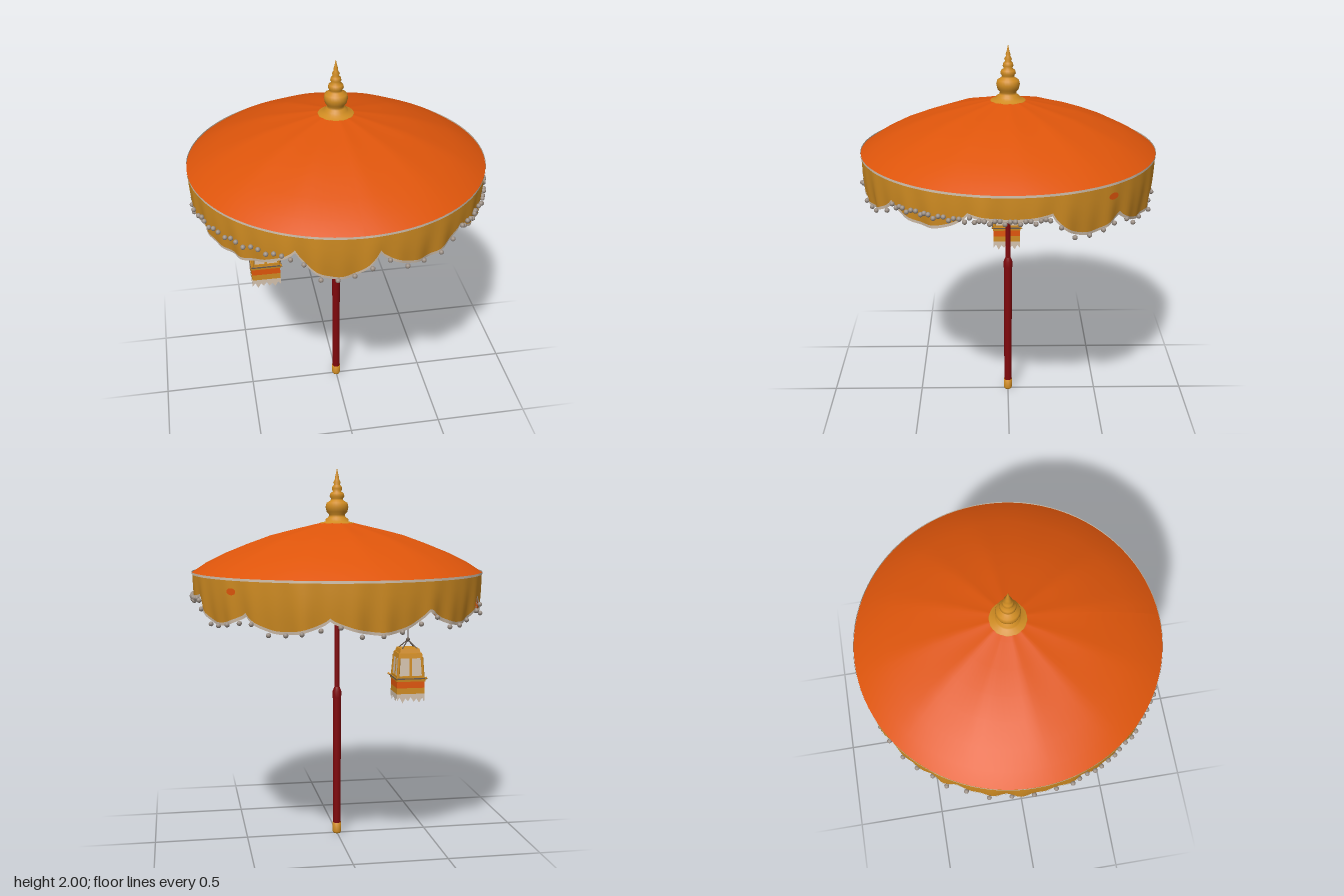
import * as THREE from 'three';

const mat = (name, color, side = THREE.FrontSide) => {
  const m = new THREE.MeshStandardMaterial({ color, side });
  m.name = name;
  return m;
};
const V = (x, y, z) => new THREE.Vector3(x, y, z);
const TURN = Math.PI * 2, RIBS = 12, RAD = Math.PI / 180, RIM = 1.46;

// scallops of the hem: [start angle in degrees from the front towards +x, height of the cusp, lowest height]
const SCALLOPS = [[6, 1.36, 1.25], [42, 1.345, 1.27], [75, 1.36, 1.335], [105, 1.355, 1.23], [135, 1.29, 1.21],
  [168, 1.28, 1.21], [206, 1.32, 1.23], [241, 1.35, 1.25], [283, 1.33, 1.24], [336, 1.365, 1.22], [366, 1.36, 1.25]];

// height of the scalloped hem at angle a
function hem(a) {
  const deg = ((a / RAD - 6) % 360 + 360) % 360 + 6;
  const k = Math.min(9, SCALLOPS.findLastIndex(s => deg >= s[0]));
  const [from, high, low] = SCALLOPS[k], [to, nextHigh] = SCALLOPS[k + 1];
  const t = (deg - from) / (to - from), top = high + (nextHigh - high) * t;
  return top - (top - low) * Math.pow(Math.sin(t * Math.PI), 0.75);
}
// radius of the hanging cloth, with soft folds that grow downwards
function clothRadius(a, y) {
  const drop = (RIM - y) / 0.24;
  return 0.768 - 0.022 * drop * drop + drop * 0.006 * (Math.sin(a * 37) + Math.sin(a * 23 + 1));
}
const onCloth = (a, y, out = 0) => {
  const r = clothRadius(a, y) + out;
  return V(r * Math.sin(a), y, r * Math.cos(a));
};

// strip of cloth between two angles and two heights; inward turns its face to the pole
function clothStrip(a0, a1, topAt, bottomAt, out, inward) {
  const n = Math.ceil((a1 - a0) / TURN * 240), rows = 4, pos = [], idx = [];
  for (let i = 0; i <= n; i++) {
    const a = a0 + (a1 - a0) * i / n, top = topAt(a), bottom = bottomAt(a);
    for (let j = 0; j <= rows; j++) pos.push(...onCloth(a, top + (bottom - top) * j / rows, out).toArray());
  }
  for (let i = 0; i < n; i++) for (let j = 0; j < rows; j++) {
    const a = i * (rows + 1) + j, b = a + 1, d = a + rows + 1, c = d + 1;
    if (inward) idx.push(a, c, b, a, d, c);
    else idx.push(a, b, c, a, c, d);
  }
  const g = new THREE.BufferGeometry();
  g.setAttribute('position', new THREE.Float32BufferAttribute(pos, 3));
  g.setIndex(idx);
  g.computeVertexNormals();
  return g;
}

// square tapered block with hard edges
function squareBlock(halfTop, halfBottom, y0, y1) {
  const g = new THREE.CylinderGeometry(halfTop * Math.SQRT2, halfBottom * Math.SQRT2, y1 - y0, 4)
    .rotateY(Math.PI / 4).translate(0, (y0 + y1) / 2, 0).toNonIndexed();
  g.computeVertexNormals();
  return g;
}
const rod = (a, b, r) => new THREE.TubeGeometry(new THREE.LineCurve3(a, b), 1, r, 6);
const lathe = (pts, seg) => new THREE.LatheGeometry(pts.map(p => new THREE.Vector2(...p)), seg);

export function createModel() {
  const orange = mat('orange cloth', 0xde550b, THREE.DoubleSide);
  const gold = mat('gold', 0xd08c22);
  const red = mat('dark red lacquer', 0x80080c);
  const pale = mat('pale cloth', 0xd4c2ae, THREE.DoubleSide);
  const grey = mat('grey beads', 0x9c9086);
  const dark = mat('dark brown', 0x66594f);

  const root = new THREE.Group();
  const add = (name, geo, m, parent = root) => {
    const mesh = new THREE.Mesh(geo, m);
    mesh.name = name;
    parent.add(mesh);
    return mesh;
  };

  // pole
  add('poleFoot', lathe([[0, 0], [0.02, 0], [0.024, 0.01], [0.024, 0.06], [0, 0.06]], 16), gold);
  add('poleLower', lathe([[0.021, 0.055], [0.022, 0.76], [0.024, 0.77], [0.024, 0.805], [0.014, 0.83]], 16), red);
  add('poleUpper', lathe([[0.014, 0.82], [0.013, 1.71]], 14), red);

  // domed canopy, gently sagging between the ribs
  const dome = lathe([[0.77, RIM], [0.7, 1.508], [0.6, 1.56], [0.48, 1.61], [0.37, 1.65], [0.25, 1.68], [0.12, 1.71], [0.01, 1.735]], 96);
  const p = dome.attributes.position;
  for (let i = 0; i < p.count; i++) {
    const r = Math.hypot(p.getX(i), p.getZ(i)), a = Math.atan2(p.getX(i), p.getZ(i));
    const sag = Math.sin(Math.PI * Math.min(1, r / 0.77)) * 0.005;
    p.setY(i, p.getY(i) - sag * Math.abs(Math.sin((a - 0.08) * RIBS / 2)));
  }
  dome.computeVertexNormals();
  add('canopy', dome, orange);

  // ribs under the canopy
  const ribs = new THREE.Group();
  ribs.name = 'ribs';
  root.add(ribs);
  for (let k = 0; k < RIBS; k++) {
    const a = 0.08 + k / RIBS * TURN;
    const path = [[0.02, 1.72], [0.25, 1.667], [0.48, 1.597], [0.75, 1.463]]
      .map(([r, y]) => V(r * Math.sin(a), y, r * Math.cos(a)));
    add('rib', new THREE.TubeGeometry(new THREE.CatmullRomCurve3(path), 10, 0.005, 5), orange, ribs);
  }

  // hanging cloth: gold outside, lining gold at the front and orange elsewhere
  const liningStart = -77 * RAD, liningEnd = 42 * RAD, rimAt = () => RIM;
  add('valance', clothStrip(0, TURN, rimAt, hem, 0, false), gold);
  add('goldLining', clothStrip(liningStart, liningEnd, rimAt, hem, -0.005, true), gold);
  add('orangeLining', clothStrip(liningEnd, liningStart + TURN, rimAt, hem, -0.005, true), orange);

  // small orange patch on the outside of the cloth
  const patch = add('patch', new THREE.CircleGeometry(0.026, 16).scale(1.2, 0.65, 1), orange);
  patch.position.copy(onCloth(2.26, 1.4, 0.007));
  patch.rotation.y = 2.26;

  // pale flat braid on rim and hem, outside and inside
  const braidTop = a => hem(a) + 0.011, braidBottom = a => hem(a) - 0.004;
  add('rimBraid', clothStrip(0, TURN, () => RIM + 0.005, () => RIM - 0.007, 0.004, false), pale);
  add('hemBraid', clothStrip(0, TURN, braidTop, braidBottom, 0.003, false), pale);
  add('hemBraidInside', clothStrip(0, TURN, braidTop, braidBottom, -0.008, true), pale);

  // beads along the hem, in dense swags on three of the scallops
  const beads = new THREE.Group();
  beads.name = 'beads';
  root.add(beads);
  const beadGeo = new THREE.SphereGeometry(0.0125, 10, 8);
  for (let k = 0; k < 10; k++) {
    const dense = [1, 2, 8].includes(k), n = dense ? 17 : 5;
    const from = SCALLOPS[k][0], to = SCALLOPS[k + 1][0];
    for (let i = 0; i < n; i++) {
      const a = (from + (to - from) * (i + 0.5) / n) * RAD;
      const y = dense ? Math.max(hem(a), 1.345) : hem(a);
      const bead = add('bead', beadGeo, grey, beads);
      bead.position.copy(onCloth(a, y - (i % 3 === 1 ? 0.02 : 0.006), 0.009));
    }
  }

  // tiered finial
  add('finial', lathe([[0.08, 1.69], [0.094, 1.697], [0.096, 1.71], [0.09, 1.718], [0.062, 1.724], [0.06, 1.738], [0.045, 1.748],
    [0.042, 1.76], [0.055, 1.775], [0.061, 1.8], [0.056, 1.822], [0.034, 1.835], [0.032, 1.845], [0.04, 1.856],
    [0.036, 1.872], [0.022, 1.882], [0.028, 1.895], [0.024, 1.91], [0.015, 1.918], [0.02, 1.93], [0.011, 1.945],
    [0.012, 1.955], [0.007, 1.97], [0.001, 2]], 24), gold);

  // hanging lantern
  const lantern = new THREE.Group();
  lantern.name = 'lantern';
  lantern.position.set(-0.397, 0, 0.003);
  root.add(lantern);
  add('cord', rod(V(0, 1.08, 0), V(0, 1.63, 0), 0.003), dark, lantern);
  add('cordKnot', new THREE.SphereGeometry(0.011, 8, 6).translate(0, 1.08, 0), dark, lantern);
  add('lanternCap', squareBlock(0.052, 0.058, 1.012, 1.035), gold, lantern);
  add('lanternTop', squareBlock(0.064, 0.068, 0.985, 1.012), gold, lantern);
  add('lanternBody', squareBlock(0.063, 0.071, 0.875, 0.985), pale, lantern);
  add('lanternLedge', squareBlock(0.082, 0.08, 0.858, 0.876), gold, lantern);
  add('lanternOrangeBand', squareBlock(0.076, 0.077, 0.822, 0.858), orange, lantern);
  add('lanternGoldBand', squareBlock(0.077, 0.077, 0.785, 0.822), gold, lantern);
  add('lanternBase', squareBlock(0.074, 0.074, 0.775, 0.785), grey, lantern);
  for (let k = 0; k < 4; k++) {
    const side = new THREE.Group();
    side.name = 'lanternSide';
    side.rotation.y = k * Math.PI / 2;
    lantern.add(side);
    add('bail', rod(V(0.045, 1.03, 0.045), V(0, 1.08, 0), 0.003), dark, side);
    add('cornerPost', rod(V(0.071, 0.872, 0.071), V(0.063, 0.99, 0.063), 0.008), gold, side);
    const post = add('middlePost', new THREE.BoxGeometry(0.012, 0.112, 0.006), gold, side);
    post.position.set(0, 0.93, 0.067);
    post.rotation.x = -0.07;
    add('lowerRail', new THREE.BoxGeometry(0.14, 0.012, 0.008).translate(0, 0.882, 0.071), gold, side);
    add('ledgeLine', new THREE.BoxGeometry(0.168, 0.006, 0.004).translate(0, 0.874, 0.083), dark, side);
    add('ledgeHorn', rod(V(0.07, 0.868, 0.07), V(0.09, 0.88, 0.09), 0.006), gold, side);
    // ragged fringe
    const s = new THREE.Shape();
    s.moveTo(-0.078, 0.79);
    const tips = [0.75, 0.77, 0.738, 0.765, 0.75, 0.772, 0.745, 0.763, 0.74, 0.768, 0.75];
    tips.forEach((y, i) => s.lineTo(-0.078 + 0.156 * i / (tips.length - 1), y));
    s.lineTo(0.078, 0.79);
    add('fringe', new THREE.ShapeGeometry(s).translate(0, 0, 0.0785), pale, side);
  }
  return root;
}
